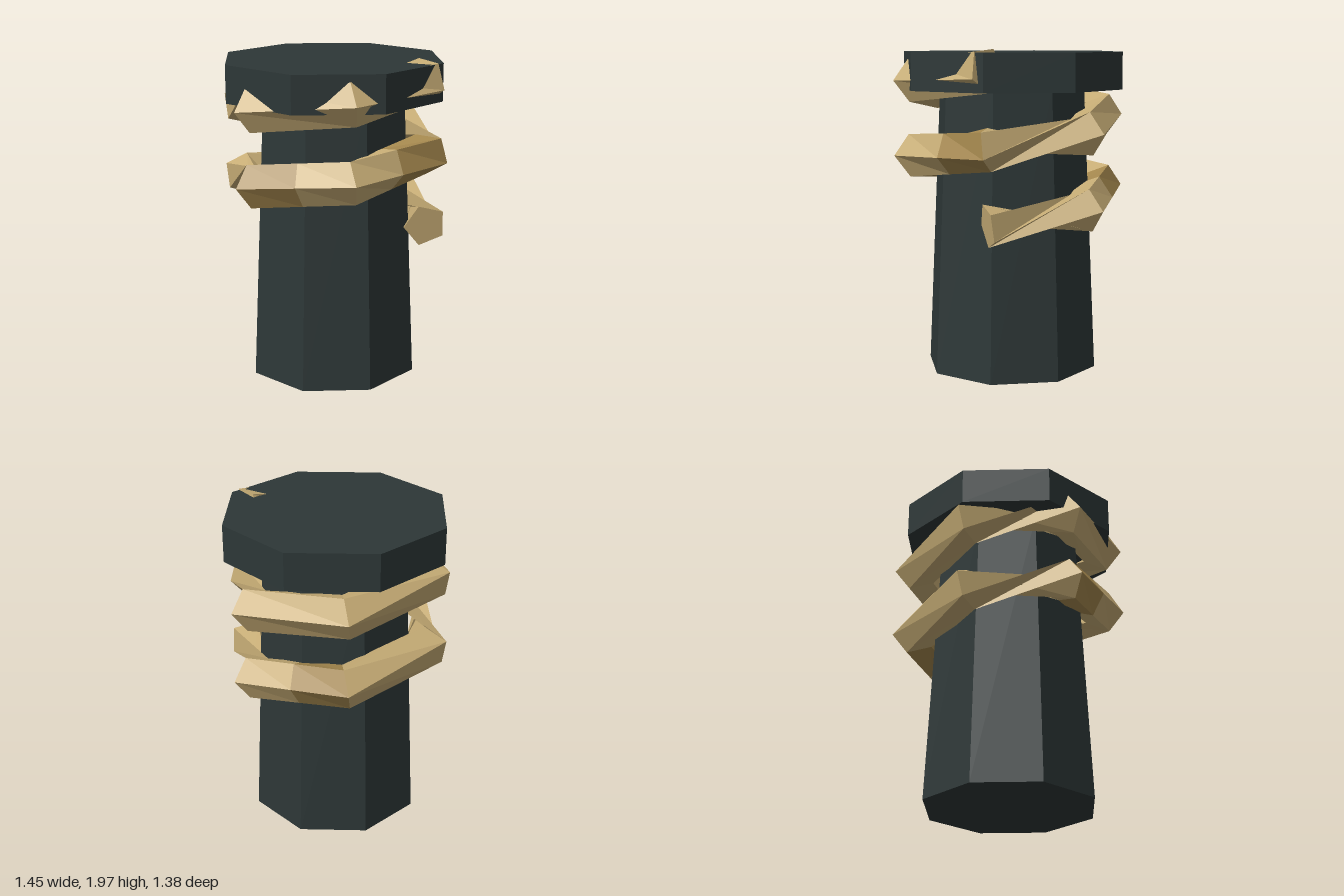
import * as THREE from 'three';

export function createModel() {
  const iron = new THREE.MeshStandardMaterial({ color: 0x2d3737, flatShading: true });
  iron.name = 'dark iron';
  const rope = new THREE.MeshStandardMaterial({ color: 0xc6ac75, flatShading: true, side: THREE.DoubleSide });
  rope.name = 'light rope';
  const worn = new THREE.MeshStandardMaterial({ color: 0xa5884e, flatShading: true, side: THREE.DoubleSide });
  worn.name = 'worn rope';

  const group = new THREE.Group();
  const add = (name, geometry, material, y = 0) => {
    const mesh = new THREE.Mesh(geometry, material);
    mesh.name = name;
    mesh.position.y = y;
    group.add(mesh);
  };

  // Tapered octagonal post and its wide cap
  add('post', new THREE.CylinderGeometry(0.455, 0.535, 1.74, 8), iron, 0.87);
  add('cap', new THREE.CylinderGeometry(0.688, 0.688, 0.226, 8), iron, 1.842);

  // Two turns of rope: a six-cornered spiral with a five-sided section
  const STEPS = 12, SIDES = 5, RADIUS = 0.135, deg = Math.PI / 180;
  const centre = (i) => new THREE.Vector3(
    0.6 * Math.cos(i * 60 * deg), 0.96 + 0.075 * i, -0.6 * Math.sin(i * 60 * deg));

  // Section roll: steady along front and back, twisting after each side corner
  const roll = (i) => {
    const base = i === 0 ? -33 : i % 6 === 0 ? -23 : i % 3 === 0 ? 25 : 0;
    return base + (Math.floor((i + 2) / 3) % 2) * 144;
  };

  const rings = [];
  for (let i = 0; i <= STEPS; i++) {
    const c = centre(i);
    const t = centre(Math.min(i + 1, STEPS)).sub(centre(Math.max(i - 1, 0))).normalize();
    const out = new THREE.Vector3(-t.z, 0, t.x).normalize();
    const up = out.clone().cross(t);
    const ring = [];
    for (let k = 0; k < SIDES; k++) {
      const a = (roll(i) + k * 72) * deg;
      ring.push(c.clone()
        .addScaledVector(out, RADIUS * Math.cos(a))
        .addScaledVector(up, RADIUS * Math.sin(a)));
    }
    rings.push(ring);
  }

  const faces = [[], []]; // light, worn
  const tri = (m, a, b, c) => [a, b, c].forEach((p) => faces[m].push(p.x, p.y, p.z));
  const bridge = (m, r0, r1) => {
    for (let k = 0; k < SIDES; k++) {
      const n = (k + 1) % SIDES;
      tri(m, r0[k], r1[k], r0[n]);
      tri(m, r1[k], r1[n], r0[n]);
    }
  };

  // Half-segments where the rope is worn: [first half, second half]
  const wornHalves = { 1: [0, 1], 4: [1, 0], 5: [0, 1] };
  for (let i = 0; i < STEPS; i++) {
    const halves = wornHalves[i];
    if (!halves) {
      bridge(0, rings[i], rings[i + 1]);
      continue;
    }
    const mid = rings[i].map((p, k) => p.clone().lerp(rings[i + 1][k], 0.5));
    bridge(halves[0], rings[i], mid);
    bridge(halves[1], mid, rings[i + 1]);
  }

  // Cut ends of the rope
  for (let k = 1; k < SIDES - 1; k++) {
    const first = rings[0], last = rings[STEPS];
    tri(0, first[0], first[k], first[k + 1]);
    tri(0, last[0], last[k + 1], last[k]);
  }

  const geometry = new THREE.BufferGeometry();
  geometry.setAttribute('position', new THREE.Float32BufferAttribute([...faces[0], ...faces[1]], 3));
  geometry.addGroup(0, faces[0].length / 3, 0);
  geometry.addGroup(faces[0].length / 3, faces[1].length / 3, 1);
  geometry.computeVertexNormals();
  add('rope', geometry, [rope, worn]);

  return group;
}
